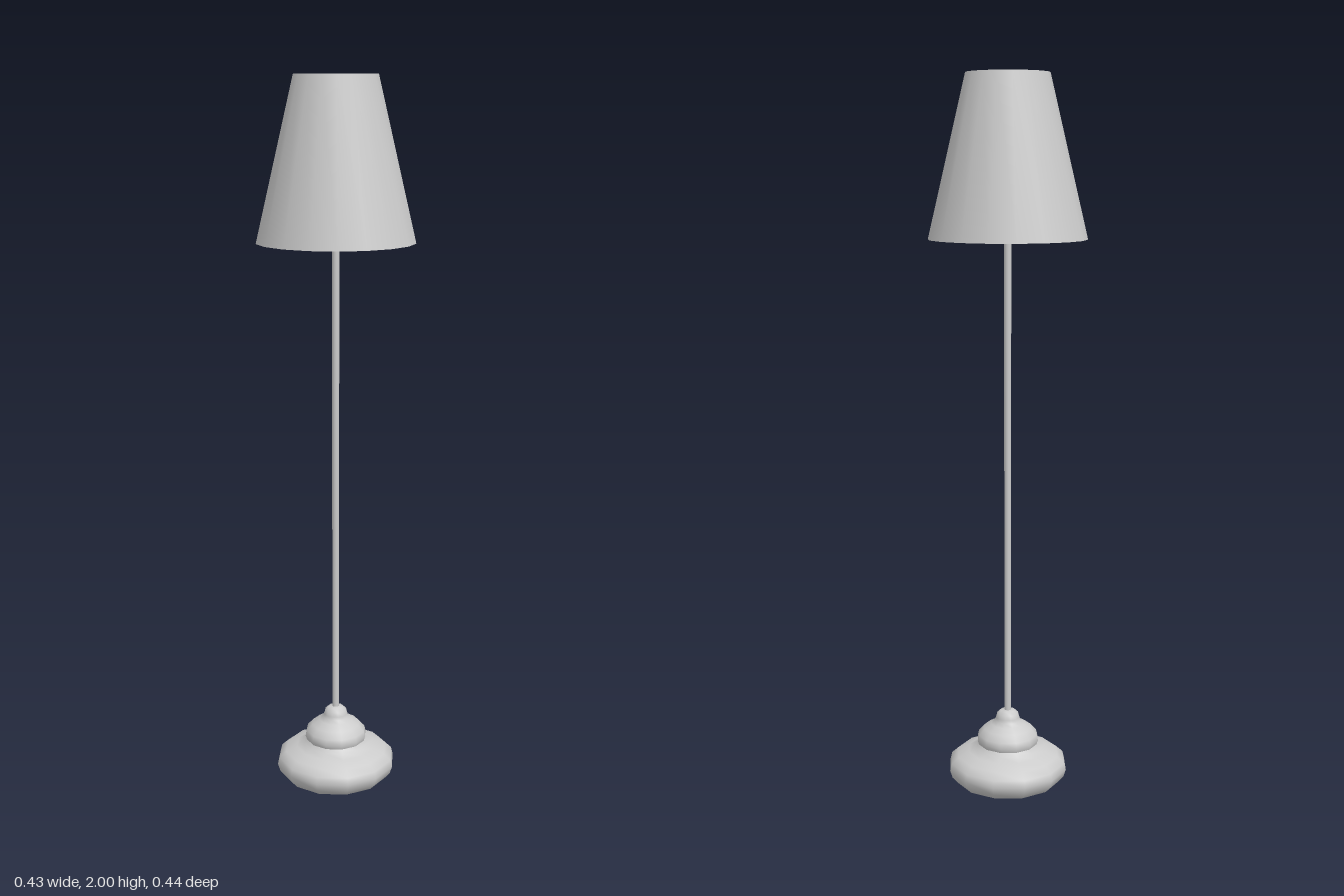
import * as THREE from 'three';
import { toCreasedNormals } from 'three/addons/utils/BufferGeometryUtils.js';

const material = new THREE.MeshStandardMaterial({ color: 0xcccccc });

// Turned part: profile of [radius, height] pairs, smooth except at sharp corners
function turned(name, profile, sides, crease) {
  const points = profile.map(([r, y]) => new THREE.Vector2(r, y));
  const geometry = toCreasedNormals(new THREE.LatheGeometry(points, sides), crease);
  const mesh = new THREE.Mesh(geometry, material);
  mesh.name = name;
  return mesh;
}

export function createModel() {
  const lamp = new THREE.Group();
  lamp.name = 'floorLamp';

  // Stepped base: wide foot, rounded middle and small collar
  lamp.add(turned('base', [
    [0, 0], [0.15, 0], [0.166, 0.018], [0.173, 0.04], [0.168, 0.06],
    [0.148, 0.078], [0.115, 0.09], [0.094, 0.1], [0.086, 0.11],
    [0.09, 0.122], [0.086, 0.138], [0.07, 0.156], [0.048, 0.169],
    [0.037, 0.178], [0.034, 0.187], [0.031, 0.199], [0.021, 0.208], [0, 0.211],
  ], 12, 0.95));

  // Thin pole, ending inside the shade
  const bottom = 0.2, top = 1.76;
  const pole = new THREE.Mesh(new THREE.CylinderGeometry(0.01, 0.01, top - bottom, 12), material);
  pole.position.y = (bottom + top) / 2;
  pole.name = 'pole';
  lamp.add(pole);

  // Open tapered shade with a thin wall
  lamp.add(turned('shade', [
    [0.218, 1.56], [0.114, 2], [0.11, 2], [0.213, 1.56], [0.218, 1.56],
  ], 18, 0.8));

  return lamp;
}
